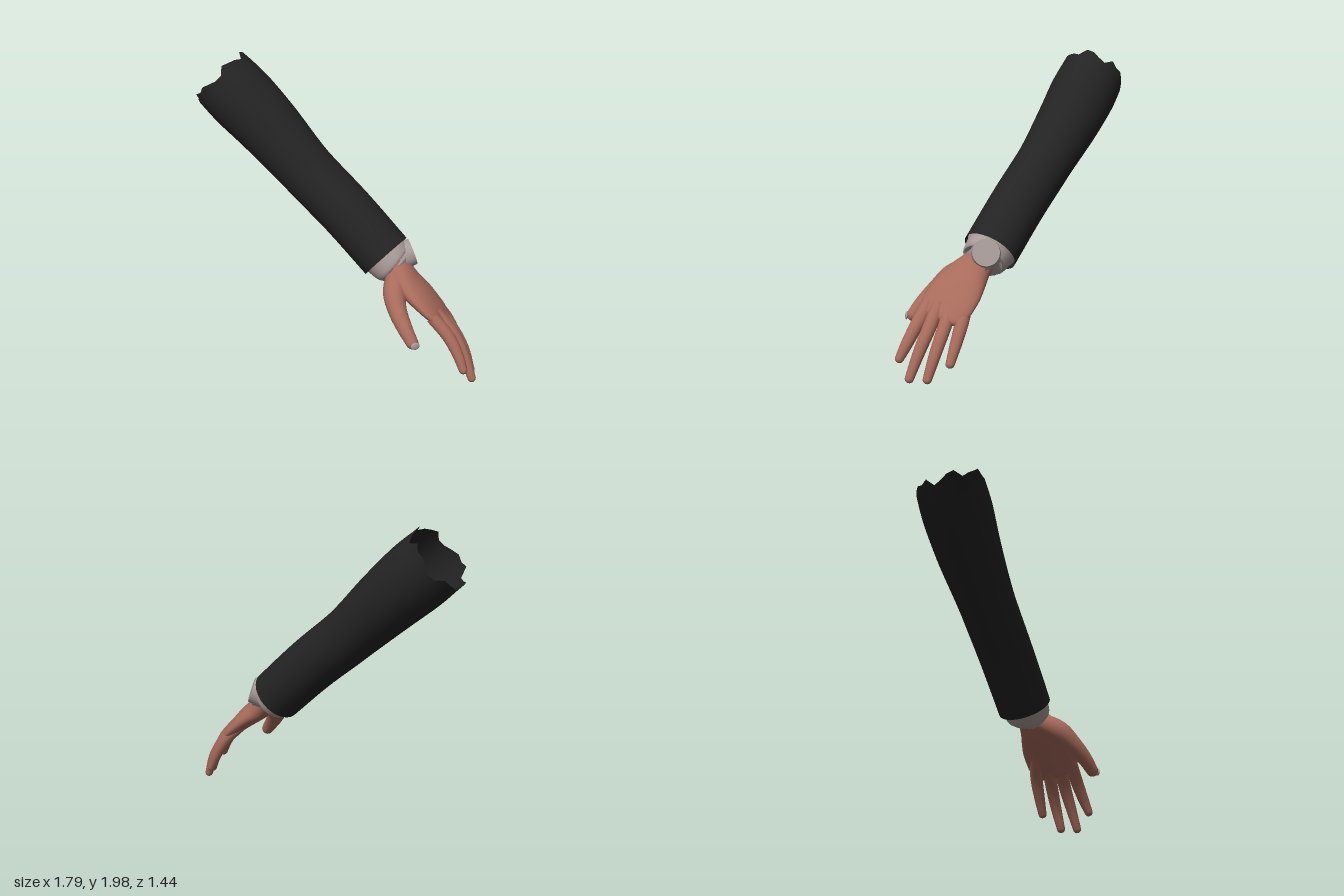
import * as THREE from 'three';

const V = (p) => new THREE.Vector3(...p);

// Smooth loft along a path: elliptical rings [x, y, z, halfWidth, halfThickness],
// optional rounded end and a ragged first ring.
function loft(stations, { width = [0, 0, 1], rings = 24, sides = 24, round = false, ragged = null } = {}) {
  const curve = new THREE.CatmullRomCurve3(stations.map((s) => V(s)));
  const sizes = new THREE.CatmullRomCurve3(stations.map((s) => new THREE.Vector3(s[3], s[4] ?? s[3], 0)));
  const pos = [], idx = [];
  let count = 0;
  const addRing = (c, t, a, b, jag) => {
    const x = V(width).addScaledVector(t, -V(width).dot(t)).normalize();
    const y = t.clone().cross(x);
    for (let j = 0; j < sides; j++) {
      const q = (j / sides) * Math.PI * 2;
      const p = c.clone().addScaledVector(x, a * Math.cos(q)).addScaledVector(y, b * Math.sin(q));
      if (jag) p.addScaledVector(t, jag[j % jag.length]);
      pos.push(p.x, p.y, p.z);
    }
    count++;
  };
  for (let i = 0; i <= rings; i++) {
    const u = i / rings, s = sizes.getPoint(u);
    addRing(curve.getPoint(u), curve.getTangent(u), s.x, s.y, i === 0 ? ragged : null);
  }
  if (round) {
    const end = curve.getPoint(1), t = curve.getTangent(1), s = sizes.getPoint(1);
    for (let k = 1; k <= 5; k++) {
      const q = (k / 5) * Math.PI * 0.495;
      addRing(end.clone().addScaledVector(t, s.y * Math.sin(q)), t, s.x * Math.cos(q), s.y * Math.cos(q));
    }
  }
  for (let i = 0; i < count - 1; i++) {
    for (let j = 0; j < sides; j++) {
      const a = i * sides + j, b = i * sides + ((j + 1) % sides);
      idx.push(a, b, a + sides, b, b + sides, a + sides);
    }
  }
  const g = new THREE.BufferGeometry();
  g.setAttribute('position', new THREE.Float32BufferAttribute(pos, 3));
  g.setIndex(idx);
  g.computeVertexNormals();
  return g;
}

export function createModel() {
  const group = new THREE.Group();
  group.name = 'sleevedArm';
  const mat = (name, color, side = THREE.FrontSide) => {
    const m = new THREE.MeshStandardMaterial({ color, side });
    m.name = name;
    return m;
  };
  const cloth = mat('blackCloth', 0x232323, THREE.DoubleSide);
  const shirt = mat('paleShirt', 0xa89b99, THREE.DoubleSide);
  const skin = mat('skin', 0xa86b5b);

  const add = (name, geometry, material, parent = group) => {
    const m = new THREE.Mesh(geometry, material);
    m.name = name;
    parent.add(m);
    return m;
  };

  // Jacket sleeve, open at both ends, torn at the top
  add('sleeve', loft([
    [-0.71, 1.805, -0.54, 0.225], [-0.59, 1.69, -0.475, 0.232], [-0.413, 1.514, -0.375, 0.218],
    [-0.16, 1.244, -0.205, 0.19], [0.095, 1.0, -0.035, 0.186], [0.34, 0.74, 0.13, 0.183],
  ], {
    rings: 30, sides: 28,
    ragged: [0.02, 0.0, -0.02, -0.01, -0.03, 0.03, 0.01, -0.02, -0.03, 0.02, 0, -0.01, -0.025, 0.02],
  }), cloth);

  // Shirt cuff, turned in around the wrist
  add('shirtCuff', loft([
    [0.27, 0.81, 0.085, 0.16], [0.34, 0.742, 0.135, 0.16], [0.385, 0.698, 0.167, 0.148],
    [0.395, 0.69, 0.172, 0.13], [0.39, 0.695, 0.17, 0.1],
  ], { width: [0, 0.2, 1] }), shirt);

  // Flat-ended knob on the outer side of the cuff
  const knob = add('cuffKnob', new THREE.CylinderGeometry(0.088, 0.105, 0.11, 28), shirt);
  const out = V([0.94, 0.32, -0.06]).normalize();
  knob.quaternion.setFromUnitVectors(V([0, 1, 0]), out);
  knob.position.set(0.518, 0.772, 0.142).addScaledVector(out, -0.055);

  // Hand: palm, four fingers and a thumb
  const hand = new THREE.Group();
  hand.name = 'hand';
  group.add(hand);
  add('palm', loft([
    [0.34, 0.74, 0.14, 0.1, 0.09], [0.41, 0.68, 0.2, 0.108, 0.088], [0.475, 0.605, 0.27, 0.15, 0.08],
    [0.56, 0.525, 0.335, 0.18, 0.068], [0.635, 0.45, 0.385, 0.178, 0.054], [0.68, 0.4, 0.42, 0.155, 0.04],
  ], { width: [-0.1, -0.1, 0.95], round: true, sides: 32 }), skin, hand);

  const fingers = {
    indexFinger: [[0.6, 0.46, 0.5], [0.7, 0.345, 0.567], [0.757, 0.235, 0.625], [0.785, 0.15, 0.668]],
    middleFinger: [[0.63, 0.465, 0.43], [0.745, 0.33, 0.487], [0.815, 0.19, 0.545], [0.86, 0.045, 0.598]],
    ringFinger: [[0.63, 0.47, 0.345], [0.75, 0.325, 0.395], [0.83, 0.185, 0.442], [0.874, 0.045, 0.485]],
    littleFinger: [[0.61, 0.48, 0.26], [0.72, 0.365, 0.282], [0.79, 0.245, 0.315], [0.838, 0.135, 0.346]],
  };
  const girth = [0.046, 0.044, 0.038, 0.029];
  for (const [name, path] of Object.entries(fingers)) {
    add(name, loft(path.map((p, i) => [...p, girth[i], girth[i] * 0.95]),
      { round: true, sides: 16, rings: 16 }), skin, hand);
  }
  add('thumb', loft([
    [0.4, 0.66, 0.24, 0.07], [0.365, 0.585, 0.37, 0.075], [0.375, 0.5, 0.47, 0.062],
    [0.415, 0.41, 0.565, 0.05], [0.452, 0.343, 0.622, 0.041],
  ], { width: [1, 0, 0], round: true, sides: 18 }), skin, hand);

  // Thumbnail
  const nail = add('thumbNail', new THREE.SphereGeometry(1, 16, 10), shirt, hand);
  nail.scale.set(0.03, 0.025, 0.009);
  const face = V([0.2, 0.1, 0.97]).normalize();
  nail.quaternion.setFromUnitVectors(V([0, 0, 1]), face);
  nail.position.set(0.458, 0.337, 0.626).addScaledVector(face, 0.037);

  return group;
}
